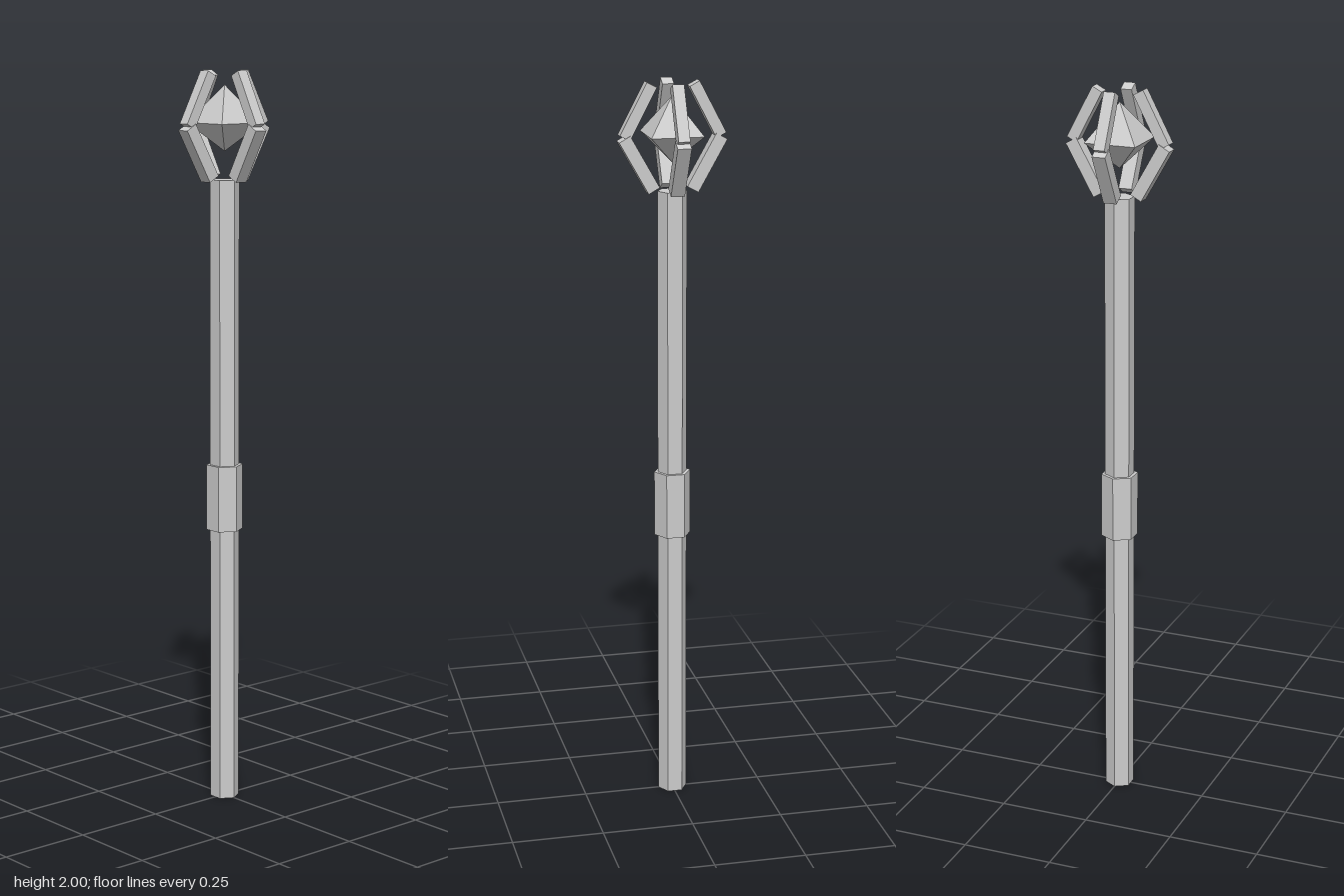
import * as THREE from 'three';

const grey = new THREE.MeshStandardMaterial({ color: 0xcccccc });
grey.name = 'plain grey';

function add(parent, name, geometry) {
  // unshared vertices give every facet a hard edge
  const flat = geometry.index ? geometry.toNonIndexed() : geometry;
  flat.computeVertexNormals();
  const mesh = new THREE.Mesh(flat, grey);
  mesh.name = name;
  parent.add(mesh);
  return mesh;
}

// Six-sided bar between two heights
const hexBar = (radius, y0, y1) =>
  new THREE.CylinderGeometry(radius, radius, y1 - y0, 6).translate(0, (y0 + y1) / 2, 0);

// Box whose long axis runs from a to b in the xy plane
function bar(parent, name, a, b, thickness, depth) {
  const [dx, dy] = [b[0] - a[0], b[1] - a[1]];
  const mesh = add(parent, name, new THREE.BoxGeometry(thickness, Math.hypot(dx, dy), depth));
  mesh.position.set((a[0] + b[0]) / 2, (a[1] + b[1]) / 2, 0);
  mesh.rotation.z = -Math.atan2(dx, dy);
}

export function createModel() {
  const staff = new THREE.Group();
  staff.name = 'staff';

  add(staff, 'shaft', hexBar(0.04, 0, 1.712));
  add(staff, 'grip', hexBar(0.05, 0.76, 0.94));

  // Gem: two square pyramids meeting at the waist
  const gem = new THREE.Group();
  gem.name = 'gem';
  const waist = 1.862;
  const pyramid = (height) => new THREE.ConeGeometry(0.1, height, 4, 1, true)
    .rotateY(Math.PI / 4).translate(0, height / 2, 0);
  add(gem, 'gemTop', pyramid(0.1).translate(0, waist, 0));
  add(gem, 'gemBottom', pyramid(0.075).rotateX(Math.PI).translate(0, waist, 0));
  staff.add(gem);

  // Four bent claws around the gem
  for (let i = 0; i < 4; i++) {
    const claw = new THREE.Group();
    claw.name = 'claw';
    bar(claw, 'lowerClaw', [0.052, 1.716], [0.13, 1.854], 0.034, 0.037);
    bar(claw, 'upperClaw', [0.129, 1.856], [0.057, 1.993], 0.03, 0.031);
    claw.rotation.y = i * Math.PI / 2;
    staff.add(claw);
  }
  return staff;
}
